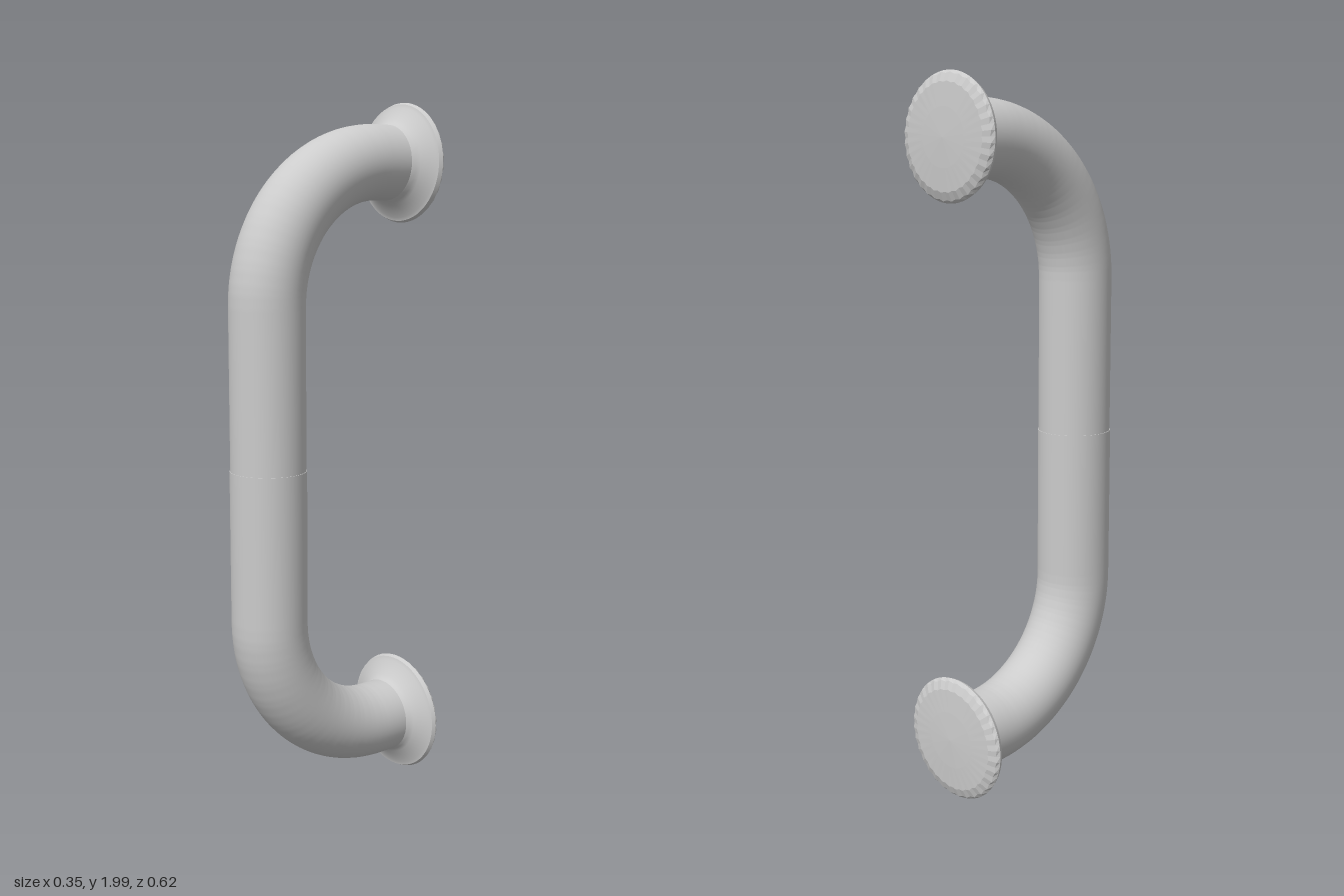
import * as THREE from 'three';
import { toCreasedNormals } from 'three/addons/utils/BufferGeometryUtils.js';

const BAR_Z = 0.204;   // depth of the upright grip
const BEND = 0.385;    // centreline radius of the bends
const END_Z = -0.25;   // where the bar enters the flange

export function createModel() {
  const model = new THREE.Group();
  const material = new THREE.MeshStandardMaterial({ color: 0xcccccc });
  const facetMaterial = new THREE.MeshStandardMaterial({ color: 0xcccccc, flatShading: true });

  const add = (parent, name, geometry, mat = material) => {
    const mesh = new THREE.Mesh(geometry, mat);
    mesh.name = name;
    parent.add(mesh);
    return mesh;
  };

  // Half of the bar: upright, quarter bend, short arm back to the flange
  const halfBar = (armY, dir) => {
    const bendY = armY - dir * BEND;
    const points = [];
    for (let i = 0; i <= 4; i++) points.push(new THREE.Vector3(0, 1 + (bendY - 1) * i / 4, BAR_Z));
    for (let i = 1; i <= 24; i++) {
      const a = i / 24 * Math.PI / 2;
      points.push(new THREE.Vector3(0, bendY + dir * BEND * Math.sin(a), BAR_Z - BEND + BEND * Math.cos(a)));
    }
    points.push(new THREE.Vector3(0, armY, END_Z));
    const path = new THREE.CurvePath();
    for (let i = 1; i < points.length; i++) path.add(new THREE.LineCurve3(points[i - 1], points[i]));
    return path;
  };

  // Lathe turned so that its axis runs towards the back (-z)
  const turned = (profile, segments) =>
    new THREE.LatheGeometry(profile.map(([r, d]) => new THREE.Vector2(r, d)), segments).rotateX(-Math.PI / 2);

  const addFlange = (name, y, s) => {
    const flange = new THREE.Group();
    flange.name = name;
    flange.position.y = y;
    model.add(flange);

    // Flared collar and rim edge
    const collar = turned([
      [0.1, 0.222], [0.107, 0.23], [0.111, 0.238], [0.12, 0.246], [0.158 * s, 0.272],
      [0.168 * s, 0.275], [0.173 * s, 0.286],
    ], 64);
    add(flange, name + 'Collar', toCreasedNormals(collar, 0.5));

    // Slightly domed back with a scalloped bevel
    const rows = [[0.173 * s, 0.286], [0.168 * s, 0.295], [0.145 * s, 0.304], [0.08 * s, 0.308], [0, 0.311]];
    const back = turned(rows, 64);
    const p = back.attributes.position;
    for (let i = 0; i < p.count; i++) {
      const row = i % rows.length, segment = Math.floor(i / rows.length);
      if (row !== 2 && row !== 1) continue;
      const k = segment % 2 ? 1 : 0.975;
      p.setXY(i, p.getX(i) * k, p.getY(i) * k);
    }
    add(flange, name + 'Back', back, facetMaterial);
  };

  // Upper half, and a very slightly thicker lower half that leaves a step at mid-height
  const halves = [
    { name: 'upper', y: 1.833, dir: 1, radius: 0.1045, scale: 0.966 },
    { name: 'lower', y: 0.184, dir: -1, radius: 0.1065, scale: 1.012 },
  ];
  for (const h of halves) {
    add(model, h.name + 'Bar', new THREE.TubeGeometry(halfBar(h.y, h.dir), 110, h.radius, 48));
    addFlange(h.name + 'Flange', h.y, h.scale);
  }

  // Step face between the halves
  const step = add(model, 'seamStep', new THREE.RingGeometry(0.1, 0.1065, 48));
  step.rotation.x = -Math.PI / 2;
  step.position.set(0, 1, BAR_Z);

  return model;
}
